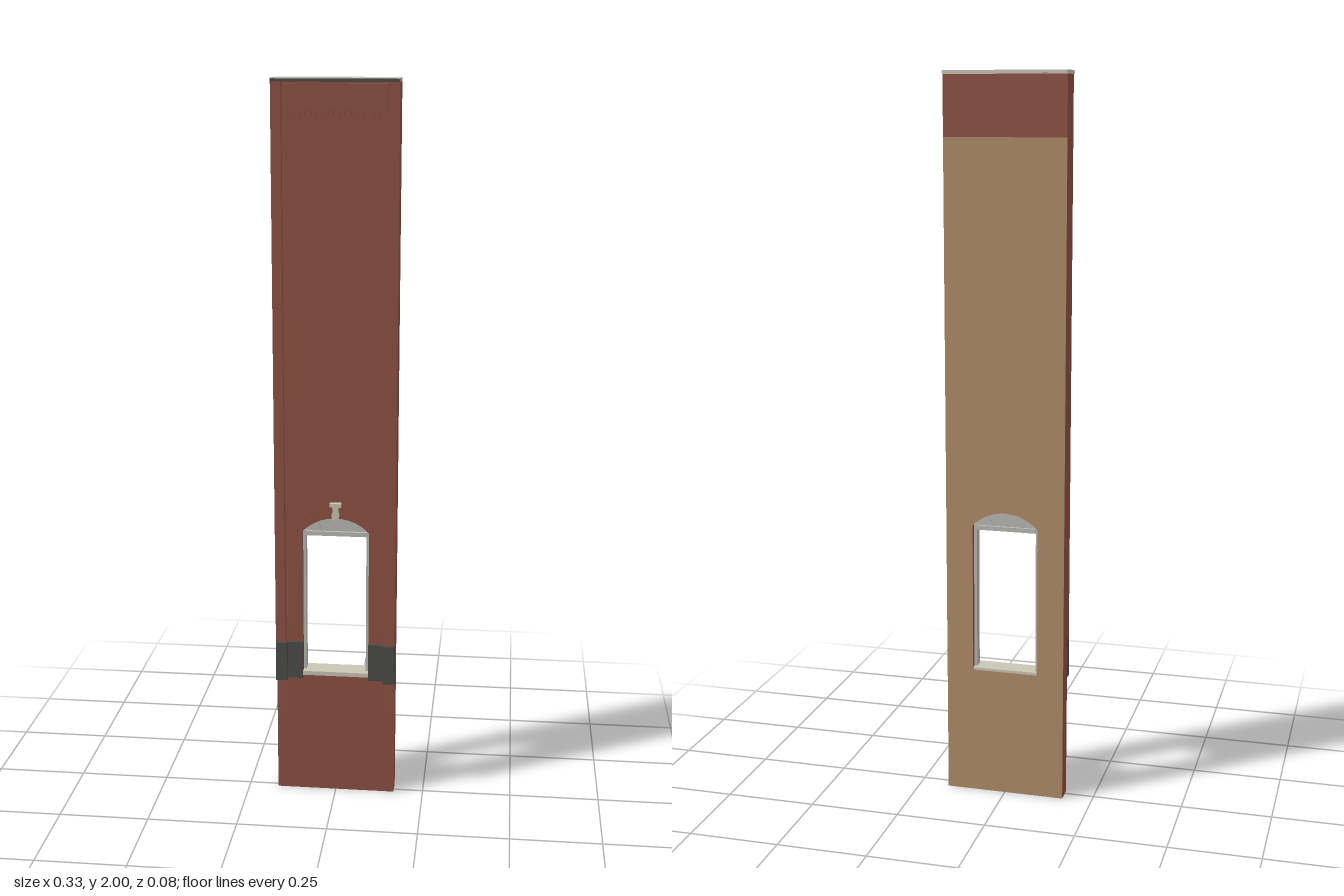
import * as THREE from 'three';

const mat = (name, color) => {
  const m = new THREE.MeshStandardMaterial({ color });
  m.name = name;
  return m;
};

export function createModel() {
  const model = new THREE.Group();
  model.name = 'wallBay';
  const brick = mat('red brick', 0x8e5143);
  const plaster = mat('tan plaster', 0xb08c68);
  const stone = mat('pale stone', 0xcbc6b5);
  const slate = mat('dark stone', 0x4b4b4a);
  const frame = mat('grey frame', 0xb9bab5);

  const add = (name, geo, material, parent = model) => {
    const m = new THREE.Mesh(geo, material);
    m.name = name;
    parent.add(m);
    return m;
  };
  // box given by its limits
  const box = (name, x0, x1, y0, y1, z0, z1, material) => {
    const m = add(name, new THREE.BoxGeometry(x1 - x0, y1 - y0, z1 - z0), material);
    m.position.set((x0 + x1) / 2, (y0 + y1) / 2, (z0 + z1) / 2);
    return m;
  };
  const extrude = (name, shape, z0, z1, material) => {
    const m = add(name, new THREE.ExtrudeGeometry(shape, { depth: z1 - z0, bevelEnabled: false, curveSegments: 16 }), material);
    m.position.z = z0;
    return m;
  };

  // segmental arch of the window
  const W = 0.167, HW = 0.092, SILL = 0.36, SPRING = 0.78;
  const R = 0.1258, CY = 0.6942, HALF = Math.asin(HW / R);
  const arched = (path, base) => {
    path.moveTo(-HW, base);
    path.lineTo(HW, base);
    path.lineTo(HW, SPRING);
    path.absarc(0, CY, R, Math.PI / 2 - HALF, Math.PI / 2 + HALF, false);
    path.lineTo(-HW, base);
    return path;
  };
  const slab = (hw, y0, y1) => {
    const s = new THREE.Shape();
    s.moveTo(-hw, y0);
    s.lineTo(hw, y0);
    s.lineTo(hw, y1);
    s.lineTo(-hw, y1);
    s.closePath();
    s.holes.push(arched(new THREE.Path(), SILL));
    return s;
  };

  // main wall and inner plaster face
  extrude('wall', slab(W, 0, 1.99), -0.033, 0.015, brick);
  extrude('backPlaster', slab(W, 0, 1.83), -0.035, -0.033, plaster);
  box('backParapet', -W, W, 1.83, 1.99, -0.035, -0.033, brick);

  // raised upper field with a corbelled lower edge
  box('upperField', -0.14, 0.14, 0.97, 1.92, 0.015, 0.02, brick);
  for (let i = 0; i < 12; i++) {
    const x = -0.121 + i * 0.022;
    box('corbelBrick', x - 0.005, x + 0.005, 0.94, 0.946, 0.015, 0.0165, brick);
  }

  // frieze with dentils
  box('frieze', -0.137, 0.137, 1.92, 1.985, 0.015, 0.032, brick);
  for (let i = 0; i < 18; i++) {
    const x = -0.1275 + i * 0.015;
    box('dentil', x - 0.004, x + 0.004, 1.905, 1.92, 0.02, 0.03, brick);
  }

  // pilasters and their dark base blocks
  for (const s of [-1, 1]) {
    const span = (a, b) => (s > 0 ? [a, b] : [-b, -a]);
    box('pilaster', ...span(0.14, W), 0.45, 1.99, 0.015, 0.035, brick);
    box('pilasterBase', ...span(0.135, W), 0.342, 0.455, 0.015, 0.038, slate);
    box('innerBase', ...span(HW, 0.135), 0.345, 0.453, 0.015, 0.024, slate);
    box('windowJamb', ...span(0.084, HW), SILL, SPRING, -0.02, 0.005, frame);
  }

  // voussoirs round the arch
  const count = 13;
  for (let i = 0; i < count; i++) {
    const a = HALF * (-1 + (2 * i + 1) / count);
    if (Math.abs(a) < 0.05) continue;
    const v = add('voussoir', new THREE.BoxGeometry(0.0135, 0.034, 0.002), brick);
    v.position.set(Math.sin(a) * (R + 0.017), CY + Math.cos(a) * (R + 0.017), 0.016);
    v.rotation.z = -a;
  }

  // flared keystone with a cap
  const key = new THREE.Shape([[-0.007, 0.817], [0.007, 0.817], [0.011, 0.832], [0.007, 0.844],
    [0.009, 0.856], [-0.009, 0.856], [-0.007, 0.844], [-0.011, 0.832]].map(p => new THREE.Vector2(...p)));
  extrude('keystone', key, 0.012, 0.027, stone);
  box('keystoneCap', -0.016, 0.016, 0.856, 0.866, 0.012, 0.031, stone);

  // window head, transom and sill
  extrude('windowLunette', arched(new THREE.Shape(), 0.77), -0.012, -0.004, frame);
  box('transom', -HW, HW, 0.765, 0.777, -0.02, 0.005, frame);
  for (const a of [-0.45, 0, 0.45]) {
    const bar = add('lunetteBar', new THREE.BoxGeometry(0.004, 0.032, 0.014), frame);
    bar.position.set(Math.sin(a) * 0.108, CY + Math.cos(a) * 0.108, -0.008);
    bar.rotation.z = -a;
  }
  box('sill', -HW, HW, 0.355, 0.367, -0.034, 0.024, stone);

  // coping on top
  box('coping', -W, W, 1.99, 2, -0.038, 0.036, stone);
  box('copingBackLip', -W, W, 1.992, 1.998, -0.042, -0.038, stone);
  box('copingFrontLip', -W, W, 1.99, 1.998, 0.036, 0.041, slate);
  return model;
}
